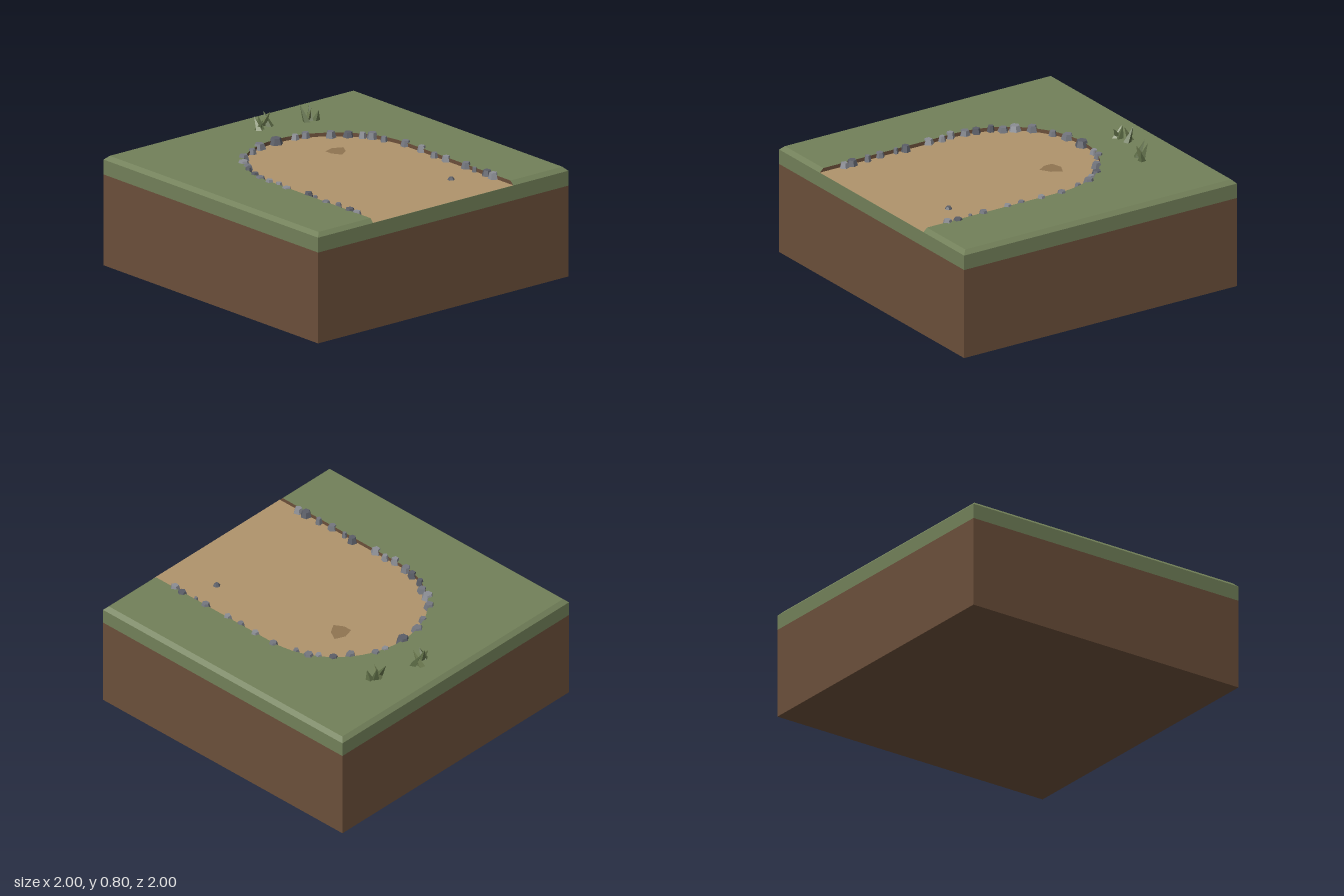
import * as THREE from 'three';

const DIRT = 0x6b4f3a, GRASS = 0x728059, SAND = 0xb0946c, PATCH = 0x8f7451;
const STONES = [0x8b8d94, 0x5b5e67, 0x74777f];
const FLOOR = 0.675, TOP = 0.7, BEVEL = 0.026, R = 0.56;

function part(name, geometry, color, parent) {
  const material = new THREE.MeshStandardMaterial({ color, flatShading: true });
  const mesh = new THREE.Mesh(geometry, material);
  mesh.name = name;
  parent.add(mesh);
  return mesh;
}

// Band of quads between a lower and an upper line of [x, z] points
function ribbon(lower, upper, y0, y1) {
  const pos = [], index = [];
  lower.forEach(([x, z], i) => {
    pos.push(x, y0, z, upper[i][0], y1, upper[i][1]);
    const a = 2 * i;
    if (i) index.push(a - 2, a, a + 1, a - 2, a + 1, a - 1);
  });
  const g = new THREE.BufferGeometry();
  g.setAttribute('position', new THREE.Float32BufferAttribute(pos, 3));
  g.setIndex(index);
  g.computeVertexNormals();
  return g;
}

// Flat, upward-facing polygon through [x, z] points
function flat(points, y) {
  const shape = new THREE.Shape(points.map(([x, z]) => new THREE.Vector2(x, -z)));
  return new THREE.ShapeGeometry(shape).rotateX(-Math.PI / 2).translate(0, y, 0);
}

// Arched outline of the clearing, open at the front edge zEnd
function arch(zEnd) {
  const pts = [[-R, zEnd]];
  for (let i = 0; i <= 24; i++) {
    const a = Math.PI * (1 - i / 24);
    pts.push([R * Math.cos(a), -R * Math.sin(a)]);
  }
  pts.push([R, zEnd]);
  return pts;
}

// Outer edge of the turf, from the right of the opening round to its left
const border = (s) => [[R, s], [s, s], [s, -s], [-s, -s], [-s, s], [-R, s]];

export function createModel() {
  const model = new THREE.Group();
  model.name = 'groundTile';

  // Earth block and turf layer
  part('earth', new THREE.BoxGeometry(2, 0.58, 2).translate(0, 0.29, 0), DIRT, model);
  part('turfBand', new THREE.BoxGeometry(2, FLOOR - 0.58, 2).translate(0, (FLOOR + 0.58) / 2, 0), GRASS, model);
  const inner = 1 - BEVEL;
  part('turfBevel', ribbon(border(1), border(inner), FLOOR, TOP), GRASS, model);
  part('turfTop', flat([...arch(inner), ...border(inner).slice(1)], TOP), GRASS, model);

  // Sunken sandy clearing with its earth bank
  part('clearingBank', ribbon(arch(1), arch(inner), FLOOR, TOP), DIRT, model);
  part('clearingFloor', flat(arch(1), FLOOR + 0.001), SAND, model);
  part('darkPatch', flat([[0.12, -0.24], [0.19, -0.26], [0.255, -0.23], [0.22, -0.165],
    [0.155, -0.125], [0.12, -0.185]], FLOOR + 0.003), PATCH, model);

  // Edging stones: x, z, radius, shade
  const stones = new THREE.Group();
  stones.name = 'edgingStones';
  model.add(stones);
  [
    [-0.545, 0.83, 0.033, 0], [-0.55, 0.77, 0.037, 1], [-0.545, 0.66, 0.024, 2], [-0.56, 0.56, 0.032, 2],
    [-0.55, 0.45, 0.018, 2], [-0.545, 0.38, 0.032, 1], [-0.565, 0.2, 0.037, 0], [-0.55, 0.11, 0.025, 0],
    [-0.565, 0.04, 0.031, 0], [-0.555, -0.06, 0.037, 2], [-0.535, -0.13, 0.031, 1], [-0.51, -0.22, 0.025, 1],
    [-0.465, -0.28, 0.035, 2], [-0.44, -0.35, 0.042, 0], [-0.37, -0.43, 0.037, 2], [-0.245, -0.495, 0.028, 2],
    [-0.15, -0.54, 0.043, 2], [-0.01, -0.55, 0.046, 1], [0.135, -0.54, 0.029, 0], [0.205, -0.525, 0.031, 2],
    [0.325, -0.43, 0.036, 2], [0.415, -0.37, 0.036, 1], [0.465, -0.295, 0.028, 0], [0.505, -0.25, 0.038, 2],
    [0.52, -0.16, 0.025, 2], [0.565, -0.01, 0.034, 2], [0.565, 0.14, 0.031, 0], [0.55, 0.275, 0.027, 2],
    [0.555, 0.38, 0.031, 0], [0.56, 0.56, 0.033, 2], [0.55, 0.65, 0.016, 2], [0.565, 0.75, 0.035, 1],
    [0.555, 0.82, 0.035, 0],
  ].forEach(([x, z, r, shade], i) => {
    const h = 0.033 + 0.004 * (i % 3);
    const g = new THREE.CylinderGeometry(r * 0.68, r, h, 5 + (i % 2)).translate(0, h / 2, 0);
    const stone = part('stone', g, STONES[shade], stones);
    stone.position.set(x, FLOOR, z);
    stone.rotation.y = i * 1.3;
  });
  const pebble = part('pebble', new THREE.CylinderGeometry(0.013, 0.024, 0.018, 6), STONES[1], model);
  pebble.position.set(0.345, FLOOR + 0.009, 0.67);

  // Leaning grass blades: base x, z, then tip x, y, z
  const blades = new THREE.Group();
  blades.name = 'grassTufts';
  model.add(blades);
  [
    [0.04, -0.76, 0.04, 0.775, -0.81], [0.06, -0.775, 0.065, 0.78, -0.8], [0.045, -0.78, 0.05, 0.765, -0.74],
    [0.115, -0.82, 0.13, 0.8, -0.765], [0.14, -0.78, 0.13, 0.79, -0.83],
    [0.365, -0.7, 0.36, 0.8, -0.76], [0.385, -0.72, 0.385, 0.785, -0.68], [0.4, -0.71, 0.42, 0.8, -0.74],
    [0.43, -0.69, 0.44, 0.765, -0.675],
  ].forEach(([x, z, tx, ty, tz], i) => {
    const h = ty - TOP, kx = (tx - x) / h, kz = (tz - z) / h;
    const g = new THREE.ConeGeometry(0.026, h, 4).rotateY(i * 0.7).translate(0, h / 2, 0);
    g.applyMatrix4(new THREE.Matrix4().set(1, kx, 0, x, 0, 1, 0, TOP, 0, kz, 1, z, 0, 0, 0, 1));
    part('grassBlade', g, i % 3 ? 0x5c6b45 : 0x6f7d52, blades);
  });

  return model;
}
